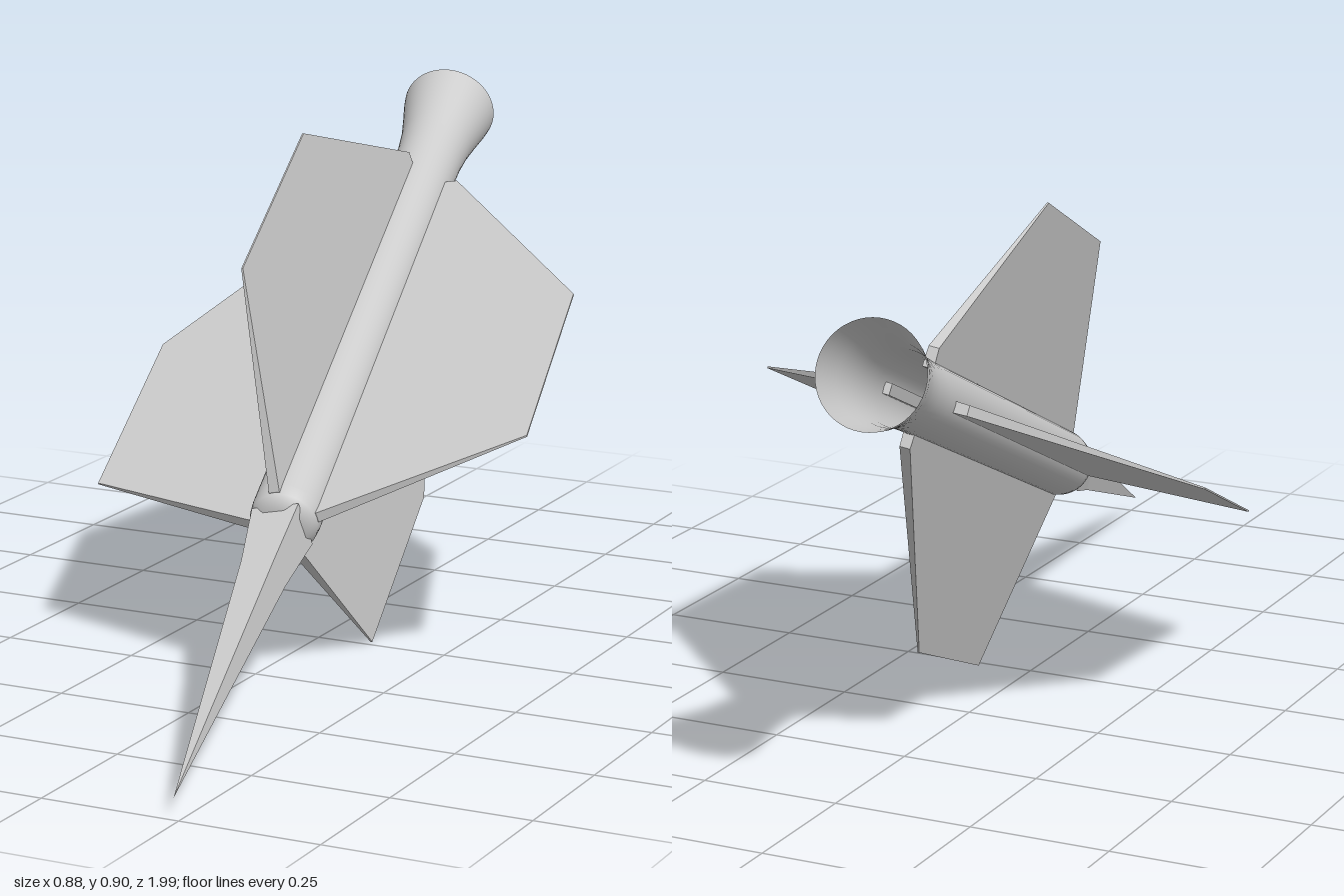
import * as THREE from 'three';

export function createModel() {
  const model = new THREE.Group();
  model.name = 'finnedDart';
  const smooth = new THREE.MeshStandardMaterial({ color: 0xcccccc, side: THREE.DoubleSide });
  const flat = new THREE.MeshStandardMaterial({ color: 0xcccccc, flatShading: true });

  // The dart is built along local +y, starting at the centre of its rear opening
  const dart = new THREE.Group();
  dart.name = 'dart';
  model.add(dart);
  const add = (name, geometry, material, parent = dart) => {
    const mesh = new THREE.Mesh(geometry, material);
    mesh.name = name;
    parent.add(mesh);
    return mesh;
  };

  // Hollow body with a flared, open rear end
  const profile = [
    [0.09, 0], [0.086, 0.03], [0.077, 0.08], [0.069, 0.13], [0.064, 0.19],
    [0.062, 0.27], [0.062, 1.38],
  ].map(([r, s]) => new THREE.Vector2(r, s));
  add('body', new THREE.LatheGeometry(profile, 48), smooth);

  // Bevelled collar that closes the front of the body
  const collar = [[0.062, 1.38], [0.06, 1.405], [0.046, 1.43], [0, 1.43]]
    .map(([r, s]) => new THREE.Vector2(r, s));
  add('collar', new THREE.LatheGeometry(collar, 48), smooth);

  // Four-sided spike, with a short steeper taper at its base
  const spike = (s0, s1, h0, h1) => {
    const g = new THREE.CylinderGeometry(h1 * Math.SQRT2, h0 * Math.SQRT2, s1 - s0, 4, 1, true);
    return g.rotateY(Math.PI / 4).translate(0, (s0 + s1) / 2, 0);
  };
  add('spikeBase', spike(1.415, 1.55, 0.043, 0.031), flat);
  add('spikePoint', spike(1.55, 2.148, 0.031, 0), flat);

  // Fins: x is the distance from the axis; they thin out towards the outer edge
  const outline = [
    [0.05, 0.31], [0.085, 0.31], [0.404, 0.768], [0.404, 1.218], [0.062, 1.4], [0.05, 1.4],
  ].map(([r, s]) => new THREE.Vector2(r, s));
  const finGeometry = new THREE.ExtrudeGeometry(new THREE.Shape(outline), { depth: 1, bevelEnabled: false });
  const pos = finGeometry.attributes.position;
  for (let i = 0; i < pos.count; i++) {
    const thickness = THREE.MathUtils.mapLinear(pos.getX(i), 0.05, 0.404, 0.02, 0.003);
    pos.setZ(i, (pos.getZ(i) - 0.5) * thickness);
  }
  finGeometry.computeVertexNormals();
  ['leftFin', 'topFin', 'rightFin', 'bottomFin'].forEach((name, i) => {
    add(name, finGeometry, flat).rotation.y = i * Math.PI / 2;
  });

  // Tilt the dart nose-down, turned a little to its left
  const rear = new THREE.Vector3(-0.19, 0.815, -0.967);
  const tip = new THREE.Vector3(0.235, 0.035, 0.99);
  const axis = tip.clone().sub(rear).normalize();
  const up = new THREE.Vector3(-0.119, 0.913, 0.389);
  const side = up.clone().cross(axis).normalize();
  const down = side.clone().cross(axis);
  dart.quaternion.setFromRotationMatrix(new THREE.Matrix4().makeBasis(side, axis, down));
  dart.position.copy(rear);

  return model;
}
